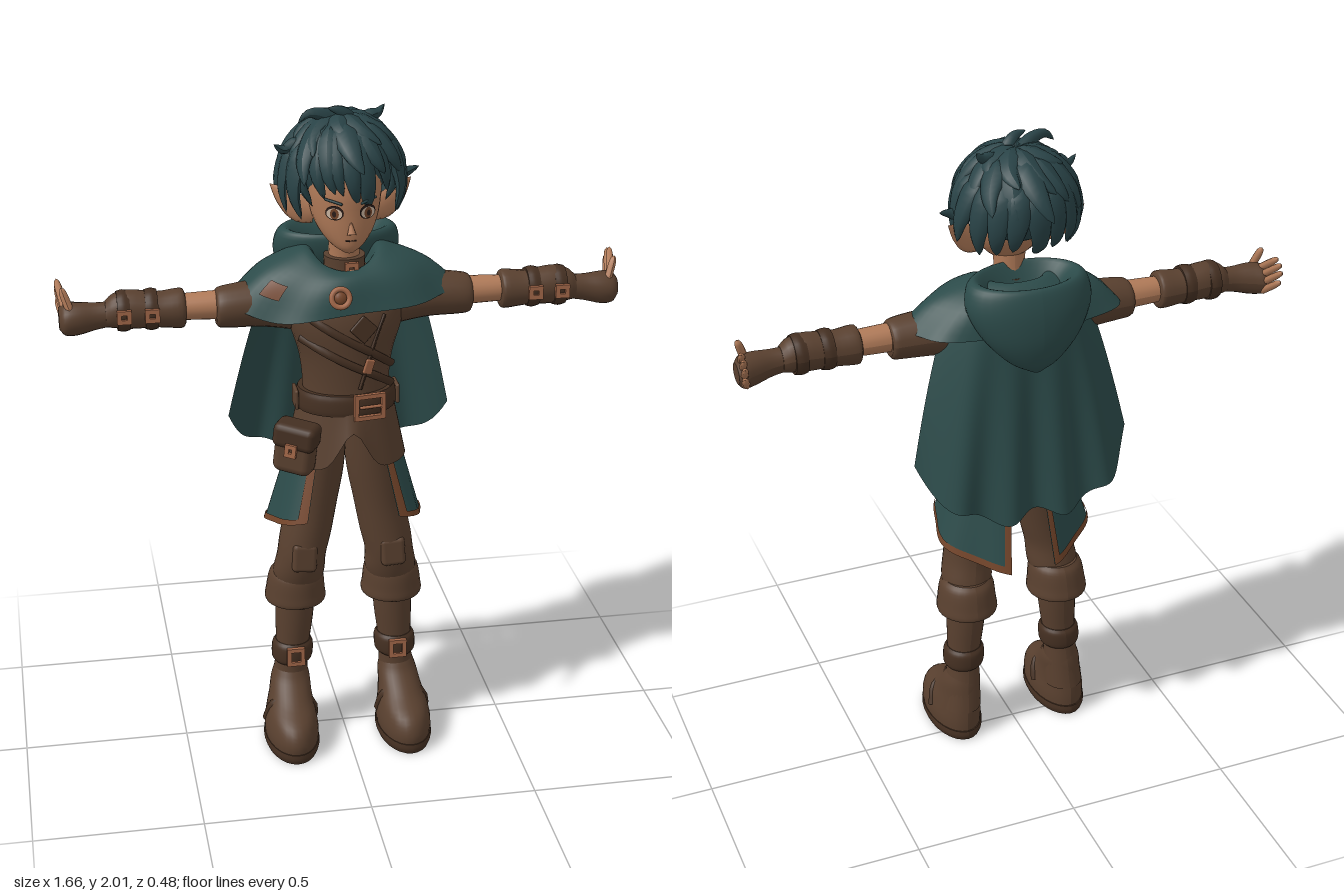
import * as THREE from 'three';
import { mergeVertices } from 'three/addons/utils/BufferGeometryUtils.js';
import { RoundedBoxGeometry } from 'three/addons/geometries/RoundedBoxGeometry.js';

const V = (x, y, z) => new THREE.Vector3(x, y, z);
const { lerp } = THREE.MathUtils;
const mat = (name, color, side = THREE.FrontSide) => Object.assign(new THREE.MeshStandardMaterial({ color, side }), { name });

// Moves every vertex by a rule and rebuilds the normals
function warp(geo, rule) {
  const p = geo.attributes.position, v = V(0, 0, 0);
  for (let i = 0; i < p.count; i++) { rule(v.fromBufferAttribute(p, i), i); p.setXYZ(i, v.x, v.y, v.z); }
  geo.computeVertexNormals();
  return geo;
}

// Elliptical cross-sections [y, cx, cz, rx, rz], bottom to top
function loft(rings, seg = 28, open = false) {
  const mid = new THREE.CatmullRomCurve3(rings.map(r => V(r[1], r[0], r[2])), false, 'catmullrom', 0.5);
  const rad = new THREE.CatmullRomCurve3(rings.map(r => V(r[3], 0, r[4])), false, 'catmullrom', 0.5);
  return warp(new THREE.CylinderGeometry(1, 1, 1, seg, (rings.length - 1) * 4, open, Math.PI), v => {
    const t = THREE.MathUtils.clamp(v.y + 0.5, 0, 1), c = mid.getPoint(t), r = rad.getPoint(t);
    v.set(c.x + v.x * r.x, c.y, c.z + v.z * r.z);
  });
}

// Same, but running along +x at arm height: [x, height offset, z, ry, rz]
const armLoft = rings => at(loft(rings.map(([x, h, z, ry, rz]) => [x, -h, z, ry, rz]), 20).rotateZ(-Math.PI / 2), 0, 1.43, 0);

// Tapered strand along a path, flattened along a direction
function strand(points, r, flatDir = V(0, 0, 1), flat = 0, profile = t => Math.pow(1 - t, 0.65)) {
  const curve = new THREE.CatmullRomCurve3(points), n = 12, k = 8, dir = flatDir.clone().normalize();
  return warp(new THREE.TubeGeometry(curve, n, r, k), (v, i) => {
    const t = Math.floor(i / (k + 1)) / n, c = curve.getPointAt(t);
    v.sub(c).multiplyScalar(Math.max(profile(t), 0.01));
    v.addScaledVector(dir, -flat * v.dot(dir)).add(c);
  });
}

// Cloth surface from fn(u, v)
const sheet = (fn, nu = 32, nv = 16) => warp(new THREE.PlaneGeometry(1, 1, nu, nv), v => v.copy(fn(v.x + 0.5, v.y + 0.5)));
const at = (geo, x, y, z, rx = 0, ry = 0, rz = 0) => geo.rotateX(rx).rotateY(ry).rotateZ(rz).translate(x, y, z);
const box = (w, h, d, r = 0.008) => new RoundedBoxGeometry(w, h, d, 2, Math.min(r, w / 2.1, h / 2.1, d / 2.1));

function mirrored(geo) {
  const g = mergeVertices(geo.clone()).scale(-1, 1, 1), ix = g.index;
  for (let i = 0; i < ix.count; i += 3) { const a = ix.getX(i); ix.setX(i, ix.getX(i + 1)); ix.setX(i + 1, a); }
  g.computeVertexNormals();
  return g;
}

// Square buckle frame facing +z
function buckle(w, h) {
  const rect = (S, a, b) => new S().moveTo(-a, -b).lineTo(a, -b).lineTo(a, b).lineTo(-a, b).closePath();
  const s = rect(THREE.Shape, w / 2, h / 2);
  s.holes.push(rect(THREE.Path, w / 2 - 0.013, h / 2 - 0.013));
  return new THREE.ExtrudeGeometry(s, { depth: 0.012, bevelEnabled: false });
}

export function createModel() {
  const D = THREE.DoubleSide;
  const skin = mat('skin', 0xb07a58), hair = mat('hair', 0x294347), cloak = mat('cloak teal', 0x2c4b4a, D);
  const leather = mat('leather', 0x59402f, D), dark = mat('dark leather', 0x453022), rust = mat('rust trim', 0x74452a, D);
  const copper = mat('copper', 0xa5694a), ink = mat('dark eye line', 0x2a1c18), white = mat('eye white', 0xcdb8a4);
  const root = new THREE.Group();
  const add = (name, geo, m) => { const o = new THREE.Mesh(geo, m); o.name = name; root.add(o); };
  const pair = (name, geo, m) => { add(name + 'Left', geo, m); add(name + 'Right', mirrored(geo), m); };

  // Head and face
  add('head', loft([[1.605, 0, 0.095, 0.015, 0.02], [1.625, 0, 0.07, 0.048, 0.06], [1.665, 0, 0.045, 0.08, 0.09], [1.72, 0, 0.025, 0.1, 0.112],
    [1.8, 0, 0.015, 0.106, 0.122], [1.88, 0, 0, 0.085, 0.1], [1.93, 0, 0, 0.02, 0.03]]), skin);
  add('neck', loft([[1.46, 0, 0.01, 0.06, 0.06], [1.56, 0, 0.02, 0.045, 0.045], [1.66, 0, 0.03, 0.048, 0.05]]), skin);
  add('nose', at(new THREE.ConeGeometry(0.013, 0.045, 8), 0, 1.69, 0.138, -0.35), skin);
  add('mouth', at(box(0.032, 0.004, 0.006), 0, 1.647, 0.131), ink);
  const disc = (rx, ry, x, y, z) => at(new THREE.CircleGeometry(1, 20).scale(rx, ry, 1), x, y, z, 0, 0.45, 0);
  pair('eyeLine', disc(0.027, 0.021, 0.047, 1.732, 0.134), ink);
  pair('eyeWhite', disc(0.023, 0.016, 0.048, 1.73, 0.136), white);
  pair('iris', disc(0.013, 0.016, 0.048, 1.73, 0.138), rust);
  pair('pupil', disc(0.006, 0.009, 0.049, 1.73, 0.14), ink);
  pair('brow', at(box(0.055, 0.008, 0.008), 0.05, 1.765, 0.135, 0, 0.45, 0.25), hair);
  pair('ear', strand([V(0.085, 1.7, 0.01), V(0.12, 1.705, 0), V(0.16, 1.735, -0.015), V(0.205, 1.775, -0.035)], 0.04,
    V(0.3, 0, 1), 0.65, t => Math.sin(Math.PI * (0.3 + 0.7 * t)) ** 0.9), skin);

  // Hair: a cap covered in rows of flicked locks
  add('hairCap', at(new THREE.SphereGeometry(1, 32, 20).scale(0.138, 0.128, 0.145), 0, 1.835, -0.03), hair);
  const onHead = (a, phi, s) => V(0.15 * s * Math.sin(phi) * Math.sin(a), 1.825 + 0.14 * s * Math.cos(phi), -0.025 + 0.165 * s * Math.sin(phi) * Math.cos(a));
  const lock = (a, p0, p1, flick, r, twist = 0.25) => {
    const pts = [0, 0.33, 0.7, 1].map(t => onHead(a + twist * t * t, lerp(p0, p1, t), lerp(0.9, 1.03, Math.min(1, t * 2)) + flick * t * t));
    return add('hairLock', strand(pts, r, onHead(a, (p0 + p1) / 2, 1).sub(V(0, 1.825, -0.025)), 0.5, t => Math.min(1, 0.6 + t * 1.5) * Math.pow(1 - t, 0.6)), hair);
  };
  for (let i = 0; i < 13; i++) { // lower row, around the sides and back
    const a = lerp(1.15, 2 * Math.PI - 1.15, i / 12), side = Math.abs(Math.sin(a));
    lock(a, 0.9, 2.2 + 0.25 * (1 - side) + 0.12 * Math.sin(i * 2.3), 0.1 + 0.3 * side * side, 0.05, a < Math.PI ? -0.15 : 0.15);
  }
  for (let i = 0; i < 14; i++) lock(i * 0.449 + 0.8, 0.4, 1.6 + 0.25 * Math.sin(i * 1.9), 0.16 + 0.1 * Math.sin(i * 2.7), 0.05); // middle row
  for (let i = 0; i < 9; i++) lock(i * 0.7 + 0.2, 0.05, 1 + 0.2 * Math.sin(i * 2.1), 0.12 + 0.07 * Math.sin(i * 3.1), 0.048, 0.5); // crown row
  for (const [a, end, r] of [[-1.1, 2.2, 0.04], [-0.75, 1.95, 0.045], [-0.4, 1.85, 0.045], [-0.1, 2.1, 0.045], [0.2, 2.45, 0.045], [0.55, 1.9, 0.042], [0.95, 2.25, 0.04]])
    lock(a, 0.35, end, 0.06, r, 0.25); // fringe
  const tuft = (...p) => add('hairTuft', strand(p.map(q => V(...q)), 0.032, V(0, 0, 1), 0.3), hair);
  tuft([0, 1.93, -0.02], [-0.05, 1.975, 0], [-0.1, 1.985, 0.01], [-0.13, 1.96, 0.015]);
  tuft([0.02, 1.93, -0.01], [0.01, 1.97, 0], [-0.01, 1.99, 0.01], [-0.045, 2.0, 0.015]);
  tuft([0.05, 1.92, -0.03], [0.08, 1.955, -0.04], [0.11, 1.965, -0.05], [0.13, 1.985, -0.06]);
  tuft([-0.08, 1.88, 0], [-0.14, 1.9, 0.01], [-0.17, 1.885, 0.01], [-0.2, 1.905, 0.02]);
  tuft([0.1, 1.8, -0.02], [0.16, 1.79, -0.01], [0.19, 1.8, -0.01], [0.225, 1.81, -0.02]);

  // Torso, collar, belt and tunic hem
  add('torso', loft([[1.06, 0, 0.045, 0.14, 0.11], [1.17, 0, 0.045, 0.128, 0.1], [1.28, 0, 0.045, 0.137, 0.1], [1.38, 0, 0.045, 0.165, 0.105],
    [1.46, 0, 0.03, 0.17, 0.1], [1.53, 0, 0.015, 0.09, 0.07]]), leather);
  add('neckCollar', loft([[1.47, 0, 0.02, 0.09, 0.08], [1.53, 0, 0.025, 0.062, 0.06], [1.575, 0, 0.025, 0.06, 0.06]]), leather);
  add('collarBuckle', at(buckle(0.04, 0.035), 0.01, 1.55, 0.084), copper);
  add('tunicSkirt', sheet((u, v) => {
    const a = lerp(-Math.PI, Math.PI, u), hem = 0.955 + 0.12 * Math.exp(-((a / 0.3) ** 2)), k = 1 - v;
    return V(Math.sin(a) * lerp(0.135, 0.18, k), lerp(hem, 1.17, v), 0.04 + Math.cos(a) * lerp(0.108, 0.145, k));
  }, 56, 10), leather);
  add('belt', loft([[1.12, 0, 0.045, 0.147, 0.118], [1.135, 0, 0.045, 0.15, 0.12], [1.165, 0, 0.045, 0.148, 0.118], [1.182, 0, 0.045, 0.142, 0.112]]), dark);
  add('beltBuckle', at(buckle(0.095, 0.08), 0.05, 1.15, 0.158, 0, 0.15), copper);
  add('beltBuckleTongue', at(box(0.07, 0.009, 0.01), 0.055, 1.15, 0.165, 0, 0.15), copper);
  pair('sideBeltTab', at(box(0.012, 0.06, 0.07), 0.15, 1.15, 0.05), leather);
  const chest = (x, y, off = 0.006) => V(x, y, 0.045 + off + 0.103 * Math.sqrt(1 - (x / 0.155) ** 2));
  const strap = (y0, y1) => add('chestStrap', strand([-0.14, -0.07, 0, 0.07, 0.125].map((x, i) => chest(x, lerp(y0, y1, i / 4), 0.001)), 0.013, V(0, 0, 1), 0.4, () => 1), dark);
  strap(1.43, 1.26);
  strap(1.35, 1.2);
  add('chestSeam', strand([1.42, 1.36, 1.28, 1.2].map((y, i) => chest(0.1 - i * 0.025, y, 0.001)), 0.006, V(0, 0, 1), 0, () => 1), dark);
  add('chestPatch', at(box(0.06, 0.06, 0.009), 0.035, 1.385, 0.15, 0, 0.15, 0.8), dark);
  add('chestCharm', at(box(0.03, 0.045, 0.01), 0.05, 1.27, 0.15, 0, 0.3, -0.3), copper);

  // Pouch on the right hip
  const pouch = new THREE.Group();
  pouch.name = 'pouch';
  for (const [n, g, m] of [['pouchBody', box(0.12, 0.15, 0.075, 0.025), leather], ['pouchFlap', at(box(0.13, 0.075, 0.085, 0.02), 0, 0.045, 0.003), dark],
    ['pouchClasp', at(buckle(0.035, 0.04), 0, 0.01, 0.042), copper]]) {
    const o = new THREE.Mesh(g, m); o.name = n; pouch.add(o);
  }
  pouch.position.set(-0.165, 1.03, 0.15);
  pouch.rotation.set(0, -0.5, -0.12);
  root.add(pouch);

  // Open hip panels with rust trim
  const panel = (u0, u1, v0, v1, off) => sheet((u, v) => {
    const s = lerp(u0, u1, u), k = lerp(v0, v1, v), a = lerp(0.62, 2.85, s), fold = 0.008 * k * Math.sin(s * 14);
    return V(Math.sin(a) * (lerp(0.14, 0.235, k) + off + fold), lerp(1.08, lerp(0.8, 0.67, s), k), 0.025 + Math.cos(a) * (lerp(0.11, 0.195, k) + off + fold));
  }, 28, 10);
  pair('hipPanel', panel(0, 1, 0, 1, 0), cloak);
  pair('hipPanelHem', panel(0, 1, 0.95, 1.005, 0.004), rust);
  pair('hipPanelFrontTrim', panel(0, 0.06, 0, 1, 0.004), rust);
  pair('hipPanelBackTrim', panel(0.96, 1, 0, 1, 0.004), rust);

  // Shoulder mantle, hood and cape
  const roll = new THREE.CatmullRomCurve3([V(0.07, 1.53, 0.06), V(0.1, 1.59, 0.085), V(0.155, 1.58, 0.115), V(0.245, 1.54, 0.142), V(0.335, 1.46, 0.165)]);
  const mantle = (u0, u1, v0, v1, off) => sheet((u, v) => {
    const a = lerp(u0, u1, u), k = lerp(v0, v1, v), p = roll.getPoint(k), c = Math.cos(a), f = Math.max(c, 0) ** 2;
    const fold = 1 + 0.03 * k * Math.sin(a * 7 + k * 4);
    const y = p.y - f * lerp(0.06, 0.02, k) - 0.04 * k * k * Math.exp(-(((a + 0.75) / 0.5) ** 2));
    return V(Math.sin(a) * (p.x * fold + off), y + off, c * (p.z * fold + off));
  }, 64, 18);
  add('mantle', mantle(-Math.PI, Math.PI, 0, 1, 0), cloak);
  add('mantlePatch', mantle(-1.05, -0.8, 0.74, 0.86, 0.005), rust);
  add('claspRing', at(new THREE.TorusGeometry(0.026, 0.008, 10, 24), -0.035, 1.49, 0.165, -0.3), copper);
  add('claspStone', at(new THREE.SphereGeometry(0.018, 14, 10).scale(1, 1, 0.5), -0.035, 1.49, 0.165, -0.3), rust);
  add('hood', loft([[1.355, 0, -0.17, 0.02, 0.025], [1.39, 0, -0.165, 0.08, 0.055], [1.46, 0, -0.15, 0.145, 0.088], [1.54, 0, -0.125, 0.185, 0.112],
    [1.6, 0, -0.11, 0.18, 0.113], [1.622, 0, -0.105, 0.155, 0.1], [1.6, 0, -0.1, 0.125, 0.08], [1.56, 0, -0.1, 0.1, 0.06]], 36), cloak);
  add('cape', sheet((u, v) => {
    const s = u * 2 - 1, k = 1 - v, s2 = s * s, hem = 0.88 + 0.17 * s2 * s2 + 0.015 * Math.cos(s * 11);
    const wide = lerp(0.19, 0.335, Math.pow(k, 0.7));
    return V(s * wide, lerp(hem, 1.53, v), lerp(-0.145, -0.195, k) + lerp(0.12, 0.11, k) * s2 * s2 + 0.016 * k * Math.cos(s * 13));
  }, 56, 20), cloak);

  // Arms: sleeves, forearms, bracers, gloves
  pair('sleeve', armLoft([[0.12, 0, 0.01, 0.085, 0.08], [0.24, 0.005, 0.01, 0.07, 0.072], [0.33, 0.002, 0.015, 0.063, 0.065], [0.365, 0, 0.015, 0.058, 0.06], [0.375, 0, 0.015, 0.048, 0.05]]), leather);
  pair('arm', armLoft([[0.3, 0.008, 0.015, 0.044, 0.044], [0.42, 0.008, 0.015, 0.04, 0.042], [0.5, 0.008, 0.015, 0.037, 0.037]]), skin);
  pair('bracer', armLoft([[0.462, 0.005, 0.015, 0.045, 0.045], [0.475, 0.005, 0.015, 0.058, 0.056], [0.54, 0.005, 0.015, 0.052, 0.053], [0.62, 0.01, 0.015, 0.057, 0.052],
    [0.665, 0.008, 0.015, 0.05, 0.046], [0.69, 0, 0.015, 0.038, 0.036]]), leather);
  for (const x of [0.56, 0.64]) {
    pair('bracerStrap', armLoft([[x - 0.018, 0.007, 0.015, 0.057, 0.056], [x, 0.007, 0.015, 0.061, 0.058], [x + 0.018, 0.007, 0.015, 0.057, 0.054]]), dark);
    pair('bracerBuckle', at(buckle(0.042, 0.04), x, 1.437, 0.068), copper);
  }
  pair('glove', armLoft([[0.67, 0, 0.015, 0.036, 0.034], [0.72, -0.005, 0.015, 0.04, 0.034], [0.77, -0.01, 0.012, 0.048, 0.045], [0.805, -0.012, 0.005, 0.047, 0.05], [0.822, -0.012, 0, 0.03, 0.035]]), leather);
  const finger = (base, tip, r) => pair('finger', strand([base, base.clone().lerp(tip, 0.5), tip], r, V(0, 0, 1), 0, t => Math.sqrt(1 - t ** 6)), skin);
  [0.105, 0.12, 0.115, 0.09].forEach((len, i) => {
    const b = V(0.802, 1.448 - i * 0.019, 0.01 - i * 0.012);
    finger(b, b.clone().add(V(0.02, 0.62 * len, -0.8 * len)), 0.0115);
  });
  finger(V(0.79, 1.45, 0.03), V(0.812, 1.515, 0.01), 0.012);

  // Trousers and boots
  pair('trouserLeg', loft([[0.49, 0.148, 0.01, 0.06, 0.065], [0.56, 0.143, 0.025, 0.078, 0.078], [0.63, 0.135, 0.04, 0.074, 0.08], [0.7, 0.122, 0.04, 0.077, 0.08],
    [0.8, 0.102, 0.035, 0.076, 0.084], [0.92, 0.086, 0.03, 0.082, 0.095], [1.06, 0.07, 0.035, 0.075, 0.1]]), leather);
  pair('kneePatch', at(box(0.075, 0.09, 0.03, 0.014), 0.135, 0.645, 0.108, -0.05, 0, 0.06), leather);
  pair('bootCuff', loft([[0.462, 0.15, 0.005, 0.062, 0.066], [0.465, 0.15, 0.005, 0.092, 0.097], [0.5, 0.15, 0.008, 0.09, 0.095], [0.55, 0.148, 0.012, 0.083, 0.088], [0.572, 0.147, 0.015, 0.07, 0.075]]), leather);
  pair('cuffNotch', at(new THREE.ConeGeometry(0.022, 0.06, 3).scale(1, 1, 0.2), 0.145, 0.495, 0.1), dark);
  pair('bootShaft', loft([[0.1, 0.175, 0.005, 0.062, 0.07], [0.2, 0.168, 0.005, 0.054, 0.056], [0.28, 0.163, 0.01, 0.05, 0.052], [0.4, 0.155, 0.01, 0.058, 0.06], [0.5, 0.15, 0.01, 0.06, 0.065]]), leather);
  pair('ankleStrap', loft([[0.25, 0.164, 0.01, 0.054, 0.056], [0.265, 0.163, 0.01, 0.063, 0.066], [0.305, 0.161, 0.01, 0.063, 0.066], [0.322, 0.16, 0.01, 0.054, 0.056]]), dark);
  pair('ankleBuckle', at(buckle(0.055, 0.06), 0.16, 0.287, 0.071), copper);
  pair('bootFoot', loft([[0.015, 0.178, 0.085, 0.08, 0.15], [0.06, 0.178, 0.086, 0.082, 0.152], [0.105, 0.177, 0.075, 0.075, 0.138], [0.145, 0.174, 0.042, 0.066, 0.1],
    [0.19, 0.17, 0.015, 0.06, 0.068], [0.225, 0.168, 0.006, 0.05, 0.052]]), leather);
  pair('bootSole', loft([[0, 0.178, 0.085, 0.08, 0.152], [0.015, 0.178, 0.085, 0.085, 0.157], [0.032, 0.178, 0.085, 0.083, 0.155]]), dark);
  pair('instepStrap', strand([V(0.105, 0.07, 0.06), V(0.118, 0.13, 0.085), V(0.175, 0.155, 0.1), V(0.232, 0.13, 0.085), V(0.25, 0.07, 0.06)], 0.016, V(0, 1, 1), 0.4, () => 1), dark);
  return root;
}
